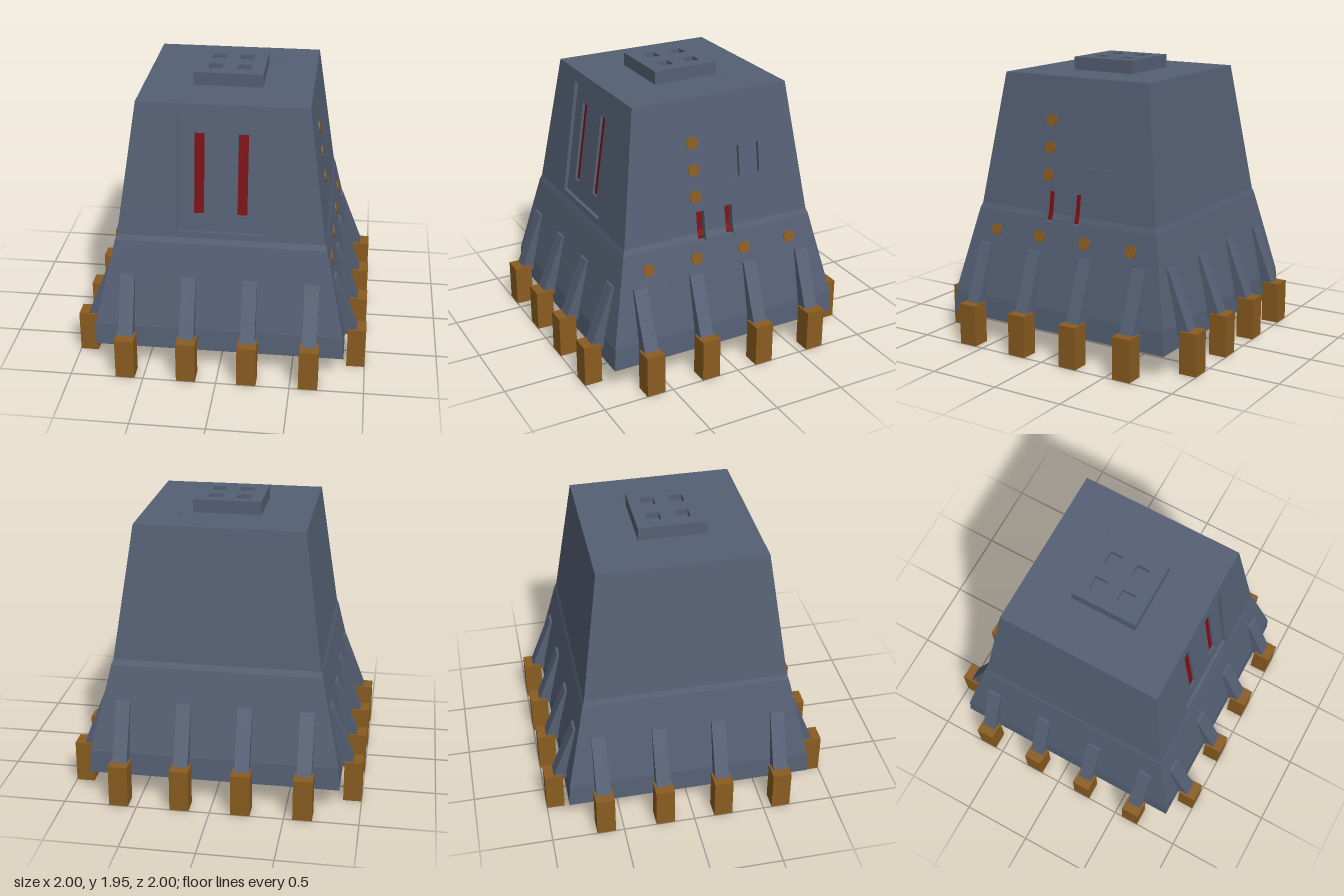
import * as THREE from 'three';

// Half-width of the body at each height: [y, half]
const PROFILE = [[0.165, 0.855], [0.32, 0.845], [0.91, 0.714], [0.95, 0.7], [1.86, 0.57]];
const half = (y) => {
  for (let i = 1; i < PROFILE.length; i++) {
    const [y0, h0] = PROFILE[i - 1], [y1, h1] = PROFILE[i];
    if (y <= y1) return h0 + (h1 - h0) * (y - y0) / (y1 - y0);
  }
  return PROFILE[PROFILE.length - 1][1];
};

const mat = (name, color) => {
  const m = new THREE.MeshStandardMaterial({ color });
  m.name = name;
  return m;
};

// A face with rectangular recesses: a grid of cells, each at its own depth, joined by step walls.
// recess: { u:[a,b], v:[a,b], d, red }; later ones lie inside earlier ones
function relief(name, recesses, rows, edge, map, base, accent) {
  const sorted = (list) => [...new Set(list)].sort((a, b) => a - b);
  const vs = sorted([...rows, ...recesses.flatMap((r) => r.v)]);
  const us = [-Infinity, ...sorted(recesses.flatMap((r) => r.u)), Infinity];
  const U = (i, v) => Math.max(-edge(v), Math.min(edge(v), us[i]));
  const cell = (i, j) => {
    const v = (vs[j] + vs[j + 1]) / 2, u = (U(i, v) + U(i + 1, v)) / 2;
    let found = { d: 0 };
    for (const r of recesses) if (u > r.u[0] && u < r.u[1] && v > r.v[0] && v < r.v[1]) found = r;
    return found;
  };
  const out = { base: [], accent: [] };
  const quad = (list, ...c) => {
    const p = c.map(([i, j, d]) => map(U(i, vs[j]), vs[j], d));
    for (const k of [0, 1, 2, 0, 2, 3]) list.push(...p[k]);
  };
  for (let j = 0; j < vs.length - 1; j++) {
    for (let i = 0; i < us.length - 1; i++) {
      const { d, red } = cell(i, j);
      quad(red ? out.accent : out.base, [i, j, d], [i + 1, j, d], [i + 1, j + 1, d], [i, j + 1, d]);
      if (i > 0) {
        const l = cell(i - 1, j).d;
        if (l !== d) quad(out.base, [i, j, l], [i, j, d], [i, j + 1, d], [i, j + 1, l]);
      }
      if (j > 0) {
        const b = cell(i, j - 1).d;
        if (b !== d) quad(out.base, [i, j, b], [i + 1, j, b], [i + 1, j, d], [i, j, d]);
      }
    }
  }
  const group = new THREE.Group();
  group.name = name;
  for (const [key, m] of [['base', base], ['accent', accent]]) {
    if (!out[key].length) continue;
    const g = new THREE.BufferGeometry();
    g.setAttribute('position', new THREE.Float32BufferAttribute(out[key], 3));
    g.computeVertexNormals();
    const mesh = new THREE.Mesh(g, m);
    mesh.name = key === 'base' ? name + 'Surface' : name + 'RedSlots';
    group.add(mesh);
  }
  return group;
}

export function createModel() {
  const model = new THREE.Group();
  model.name = 'taperedTower';
  const slate = mat('slate', 0x556074);
  const ochre = mat('ochre', 0x8a5c20);
  const red = mat('darkRed', 0x7c0f12);
  const add = (parent, name, geo, material, x = 0, y = 0, z = 0) => {
    const m = new THREE.Mesh(geo, material);
    m.name = name;
    m.position.set(x, y, z);
    parent.add(m);
    return m;
  };

  // Recessed front panel with two red slots
  const frontRecesses = [
    { u: [-0.293, 0.29], v: [0.99, 1.78], d: 0.025 },
    { u: [-0.183, -0.115], v: [1.105, 1.66], d: 0.043, red: true },
    { u: [0.108, 0.175], v: [1.105, 1.66], d: 0.043, red: true },
  ];
  // Slots in the left side (u runs towards -z)
  const sideRecesses = [
    { u: [0.125, 0.187], v: [1.275, 1.49], d: 0.025 },
    { u: [0.282, 0.34], v: [1.275, 1.49], d: 0.025 },
    { u: [-0.16, -0.1], v: [0.892, 1.094], d: 0.038, red: true },
    { u: [0.057, 0.113], v: [0.892, 1.094], d: 0.038, red: true },
  ];

  // Rib profile: x outward, y up
  const ribShape = new THREE.Shape([
    [0.74, 0.685], [0.78, 0.685], [0.935, 0.29], [0.935, 0.25], [0.83, 0.25],
  ].map(([x, y]) => new THREE.Vector2(x, y)));
  const ribGeo = new THREE.ExtrudeGeometry(ribShape, { depth: 0.098, bevelEnabled: false });
  ribGeo.translate(0, 0, -0.049);
  ribGeo.rotateY(-Math.PI / 2);
  const footGeo = new THREE.BoxGeometry(0.13, 0.29, 0.125);

  // Four walls, each with four ribs and feet
  const rows = PROFILE.map((p) => p[0]);
  ['front', 'left', 'back', 'right'].forEach((name, k) => {
    const side = new THREE.Group();
    side.name = name + 'Side';
    side.rotation.y = k * Math.PI / 2;
    const recesses = [frontRecesses, sideRecesses, [], []][k];
    side.add(relief(name + 'Wall', recesses, rows, half, (u, y, d) => [u, y, half(y) - d], slate, red));
    for (const u of [-0.624, -0.207, 0.207, 0.624]) {
      add(side, 'rib', ribGeo, slate, u);
      add(side, 'foot', footGeo, ochre, u, 0.145, 0.9375);
    }
    model.add(side);
  });

  // Body floor and roof
  add(model, 'underside', new THREE.PlaneGeometry(1.71, 1.71), slate, 0, 0.165).rotation.x = Math.PI / 2;
  add(model, 'roof', new THREE.PlaneGeometry(1.14, 1.14), slate, 0, 1.86).rotation.x = -Math.PI / 2;

  // Round lights on the left side: [z, y]
  const discGeo = new THREE.CylinderGeometry(0.042, 0.042, 0.016, 24);
  const discs = [
    [0.16, 1.564], [0.16, 1.382], [0.16, 1.2],
    [0.547, 0.785], [0.185, 0.785], [-0.178, 0.785], [-0.54, 0.785],
  ];
  for (const [z, y] of discs) {
    const tilt = Math.atan((half(y - 0.02) - half(y + 0.02)) / 0.04);
    add(model, 'sideLight', discGeo, ochre, half(y), y, z).rotation.z = tilt - Math.PI / 2;
  }

  // Roof block with four square pockets
  const pockets = [];
  for (const u of [-0.1, 0.097]) {
    for (const v of [-0.092, 0.105]) {
      pockets.push({ u: [u - 0.046, u + 0.046], v: [v - 0.046, v + 0.046], d: 0.04 });
    }
  }
  model.add(relief('roofBlockTop', pockets, [-0.233, 0.233], () => 0.233,
    (u, v, d) => [u, 1.95 - d, -v], slate, red));
  const r = 0.233 * Math.SQRT2;
  const skirt = new THREE.CylinderGeometry(r, r, 0.09, 4, 1, true, Math.PI / 4).toNonIndexed();
  skirt.computeVertexNormals();
  add(model, 'roofBlockSides', skirt, slate, 0, 1.905);

  // Small stud on the roof
  add(model, 'roofStud', new THREE.CylinderGeometry(0.019, 0.019, 0.008, 12), slate, 0.313, 1.86, -0.257);

  return model;
}
